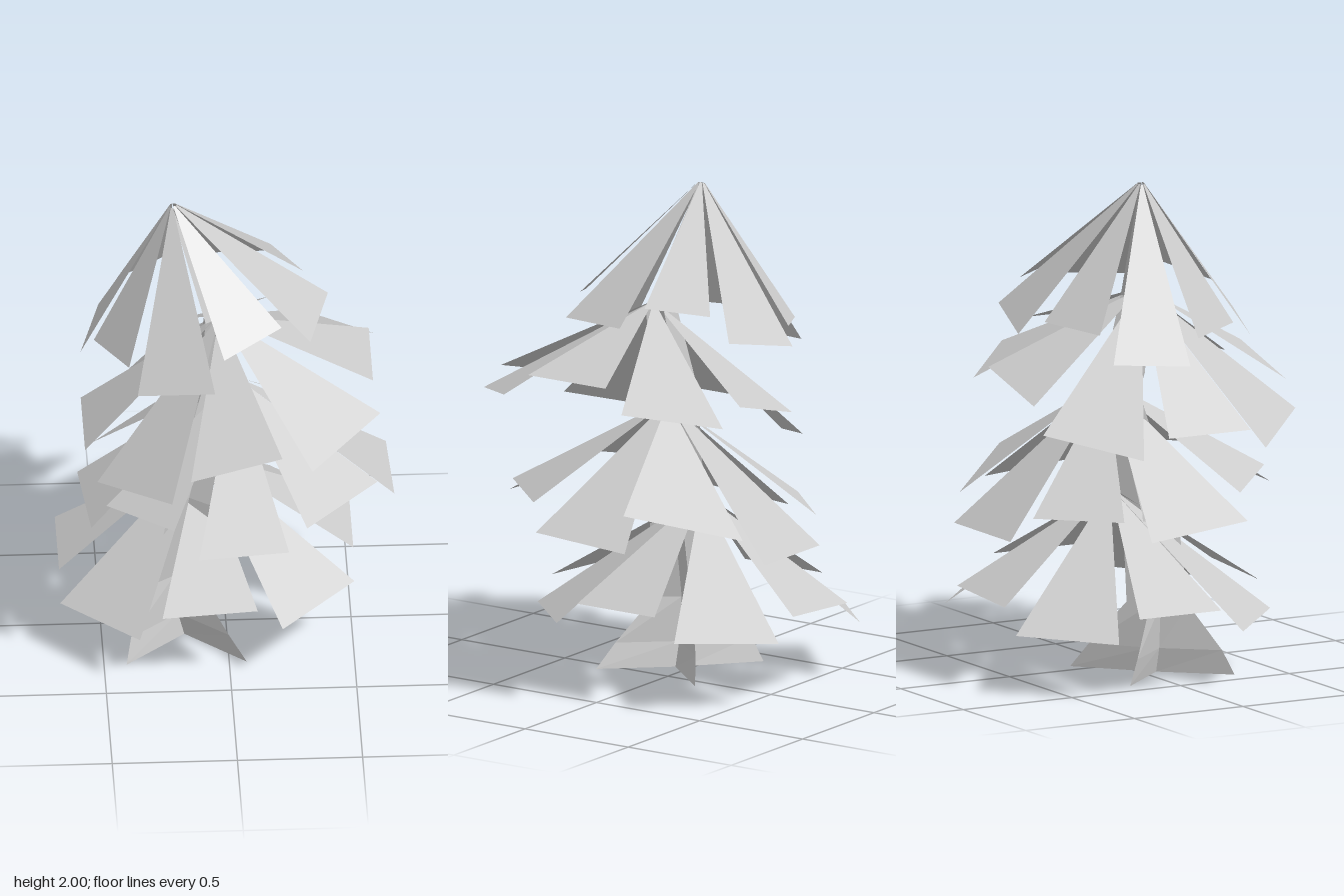
import * as THREE from 'three';

const material = new THREE.MeshStandardMaterial({ color: 0xcccccc, flatShading: true, side: THREE.DoubleSide });

function meshFrom(points, index, name) {
  const g = new THREE.BufferGeometry();
  g.setAttribute('position', new THREE.Float32BufferAttribute(points, 3));
  g.setIndex(index);
  const flat = g.toNonIndexed();
  flat.computeVertexNormals();
  const mesh = new THREE.Mesh(flat, material);
  mesh.name = name;
  return mesh;
}

// One flat needle blade: almost a point at the apex, wide at the outer edge
function blade(apex, a, b) {
  const top = new THREE.Vector3(...apex);
  const outerA = new THREE.Vector3(...a), outerB = new THREE.Vector3(...b);
  const innerA = top.clone().lerp(outerA, 0.03), innerB = top.clone().lerp(outerB, 0.03);
  const pts = [innerA, outerA, outerB, innerB].flatMap(p => p.toArray());
  return meshFrom(pts, [0, 1, 2, 0, 2, 3], 'branchBlade');
}

// A tier is an apex and the two outer corners of each blade
function tier(name, apex, blades) {
  const group = new THREE.Group();
  group.name = name;
  for (const [a, b] of blades) group.add(blade(apex, a, b));
  return group;
}

// Regular tier: the blades of the front half are mirrored to the back half
function mirroredTier(name, apex, zCentre, sides, frontBlades) {
  const flip = ([x, y, z]) => [x, y, 2 * zCentre - z];
  const back = frontBlades.map(([a, b]) => [flip(b), flip(a)]);
  return tier(name, apex, [...sides, ...frontBlades, ...back]);
}

// Bent trunk with a four-pointed star section that flares at the root
function trunk() {
  const sections = [ // y, x, z, half width
    [0, -0.17, 0.06, 0.24], [0.1, -0.195, 0.06, 0.195], [0.28, -0.21, 0.06, 0.09],
    [0.65, -0.15, 0.06, 0.08], [1.12, -0.04, -0.02, 0.06], [1.2, -0.05, 0, 0.06],
    [1.5, -0.04, 0.06, 0.045], [1.98, -0.21, -0.01, 0.008],
  ];
  const pts = [], idx = [], n = 8;
  sections.forEach(([y, x, z, w], s) => {
    for (let i = 0; i < n; i++) {
      const r = i % 2 ? w * Math.SQRT2 : Math.min(0.03, w * 0.3);
      const t = i * Math.PI / 4;
      pts.push(x + r * Math.sin(t), y, z + r * Math.cos(t));
      if (s === 0) continue;
      const j = (i + 1) % n, lo = (s - 1) * n, hi = s * n;
      idx.push(lo + i, lo + j, hi + j, lo + i, hi + j, hi + i);
    }
  });
  return meshFrom(pts, idx, 'trunk');
}

export function createModel() {
  const tree = new THREE.Group();
  tree.name = 'pineTree';
  tree.add(trunk());

  // Lowest tier
  tree.add(mirroredTier('lowestTier', [-0.1, 0.75, -0.095], -0.095, [
    [[0.505, 0.395, 0.09], [0.505, 0.395, -0.285]],
    [[-0.67, 0.325, -0.285], [-0.67, 0.325, 0.09]],
  ], [
    [[-0.67, 0.23, 0.19], [-0.365, 0.245, 0.49]],
    [[-0.275, 0.345, 0.49], [0.105, 0.37, 0.49]],
    [[0.205, 0.28, 0.49], [0.505, 0.3, 0.19]],
  ]));

  // Second tier
  tree.add(tier('lowerMiddleTier', [0.04, 1.15, -0.03], [
    [[0.665, 0.71, 0.18], [0.65, 0.68, -0.24]],
    [[0.6, 0.82, -0.2], [0.29, 0.705, -0.565]],
    [[0.225, 0.6, -0.625], [-0.19, 0.59, -0.605]],
    [[-0.26, 0.69, -0.54], [-0.52, 0.69, -0.27]],
    [[-0.585, 0.61, -0.18], [-0.55, 0.65, 0.28]],
    [[-0.49, 0.755, 0.28], [-0.23, 0.8, 0.54]],
    [[-0.135, 0.71, 0.62], [0.225, 0.73, 0.61]],
    [[0.3, 0.8, 0.545], [0.595, 0.81, 0.24]],
  ]));

  // Third tier, tilted down on one side
  tree.add(mirroredTier('upperMiddleTier', [-0.03, 1.53, 0.09], 0.095, [
    [[0.575, 1.325, 0.28], [0.575, 1.325, -0.095]],
    [[-0.575, 1.025, -0.095], [-0.575, 1.025, 0.28]],
  ], [
    [[-0.53, 0.935, 0.375], [-0.245, 1.02, 0.675]],
    [[-0.17, 1.125, 0.675], [0.195, 1.225, 0.675]],
    [[0.315, 1.16, 0.675], [0.6, 1.235, 0.38]],
  ]));

  // Crown
  tree.add(tier('crownTier', [-0.215, 2.01, -0.015], [
    [[0.325, 1.51, 0.27], [0.41, 1.53, -0.05]],
    [[-0.025, 1.53, 0.415], [0.21, 1.59, 0.28]],
    [[-0.37, 1.36, 0.4], [-0.065, 1.42, 0.49]],
    [[-0.53, 1.41, 0.065], [-0.4, 1.43, 0.3]],
    [[-0.495, 1.33, -0.305], [-0.58, 1.31, 0]],
    [[-0.195, 1.47, -0.45], [-0.42, 1.44, -0.325]],
    [[0.2, 1.48, -0.435], [-0.115, 1.415, -0.525]],
    [[0.315, 1.6, -0.105], [0.195, 1.575, -0.34]],
  ]));
  return tree;
}
